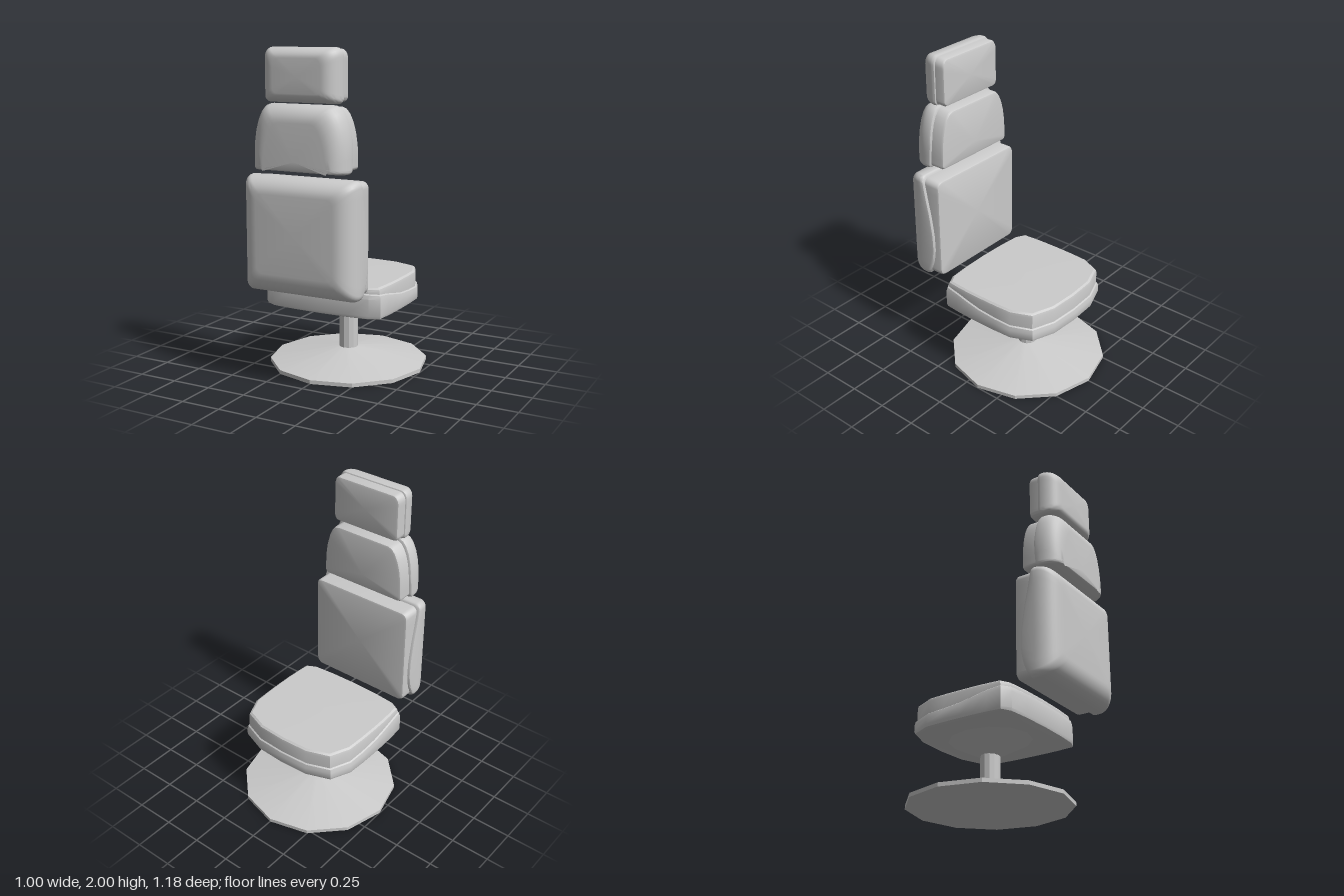
import * as THREE from 'three';
import { toCreasedNormals } from 'three/addons/utils/BufferGeometryUtils.js';

const material = new THREE.MeshStandardMaterial({ color: 0xcccccc });

function part(name, geometry, crease = 0.5) {
  const mesh = new THREE.Mesh(toCreasedNormals(geometry, crease), material);
  mesh.name = name;
  return mesh;
}

// Skin a stack of closed rings and close both ends with a fan
function loft(rings) {
  const n = rings[0].length, positions = [], index = [];
  rings.forEach(r => r.forEach(p => positions.push(p.x, p.y, p.z)));
  for (let k = 0; k < rings.length - 1; k++) {
    for (let i = 0; i < n; i++) {
      const j = (i + 1) % n, a = k * n + i, b = k * n + j;
      index.push(a, b, b + n, a, b + n, a + n);
    }
  }
  [0, rings.length - 1].forEach((k, end) => {
    const c = new THREE.Vector3();
    rings[k].forEach(p => c.addScaledVector(p, 1 / n));
    const ci = positions.length / 3;
    positions.push(c.x, c.y, c.z);
    for (let i = 0; i < n; i++) {
      const a = k * n + i, b = k * n + (i + 1) % n;
      if (end) index.push(a, b, ci); else index.push(b, a, ci);
    }
  });
  const g = new THREE.BufferGeometry();
  g.setAttribute('position', new THREE.Float32BufferAttribute(positions, 3));
  g.setIndex(index);
  g.computeVertexNormals();
  return g;
}

// Piecewise interpolation with eased steps through [key, value] pairs in rising key order
function interpolate(points, t) {
  if (t <= points[0][0]) return points[0][1];
  for (let i = 1; i < points.length; i++) {
    const [t0, v0] = points[i - 1], [t1, v1] = points[i];
    if (t <= t1) return v0 + (v1 - v0) * (t - t0) / (t1 - t0);
  }
  return points[points.length - 1][1];
}

// Rounded rectangle in x/y, anticlockwise, with elliptical corners [rx, ry]
function outline(w, y0, y1, top, bottom, zAt) {
  const half = [], corner = 6, side = 12;
  const add = (x, y) => half.push([x, y]);
  for (let i = 0; i <= corner; i++) {
    const a = i / corner * Math.PI / 2;
    add(w - bottom[0] + bottom[0] * Math.sin(a), y0 + bottom[1] - bottom[1] * Math.cos(a));
  }
  for (let i = 1; i < side; i++) add(w, THREE.MathUtils.lerp(y0 + bottom[1], y1 - top[1], i / side));
  for (let i = 0; i <= corner; i++) {
    const a = i / corner * Math.PI / 2;
    add(w - top[0] + top[0] * Math.cos(a), y1 - top[1] + top[1] * Math.sin(a));
  }
  const left = half.map(([x, y]) => [-x, y]).reverse();
  return [...half, ...left].map(([x, y]) => new THREE.Vector3(x, y, zAt(y)));
}

// One back section: a domed rear shell and a flat pad on the sitting side
function cushion(name, o) {
  const group = new THREE.Group();
  group.name = name;
  const ring = (dx, dt, db, zAt) => outline(o.w - dx, o.y0 + db, o.y1 - dt, o.top, o.bottom, zAt);
  const even = (d, zAt) => ring(d, d, d, zAt);
  const seam = y => interpolate(o.seam, y);

  const shell = [even(0.06, seam), even(0.012, seam), even(0.003, y => seam(y) + 0.006),
    even(0, y => seam(y) + 0.018)];
  const steps = 9;
  for (let i = 0; i <= steps; i++) {
    const a = i / steps * Math.PI / 2, k = 1 - Math.cos(a);
    const z = o.back - o.depth * (1 - Math.sin(a));
    shell.push(ring(o.round[0] * k, o.round[1] * k, o.round[2] * k, y => Math.max(z, seam(y) + 0.019)));
  }
  const p = o.padInset;
  const pad = [[0.016, 0], [0.005, 0.004], [0, 0.015], [0, o.padDepth]]
    .map(([d, z]) => even(p + d, () => o.front + z));
  group.add(part(name + 'Shell', loft(shell), 0.7), part(name + 'Pad', loft(pad), 0.7));
  return group;
}

// Seat plan: right half from rear centre to front centre, then mirrored
const seatHalf = [[0, 0.302], [0.19, 0.297], [0.33, 0.285], [0.392, 0.252], [0.4, 0.16], [0.404, 0.07],
  [0.405, -0.02], [0.404, -0.15], [0.398, -0.27], [0.34, -0.4], [0.19, -0.455], [0, -0.465]];
const seatPlan = [...seatHalf, ...seatHalf.slice(1, -1).reverse().map(([x, z]) => [-x, z])];
const seatSeam = z => interpolate(
  [[-0.46, 0.496], [-0.2, 0.5], [-0.02, 0.515], [0.16, 0.55], [0.3, 0.567]], z);

function seatRing(inset, yAt) {
  const s = 1 - inset / 0.4;
  return seatPlan.map(([x, z]) => new THREE.Vector3(x * s, yAt(z), (z + 0.08) * s - 0.08));
}

function lathe(points) {
  return new THREE.LatheGeometry(points.map(([r, y]) => new THREE.Vector2(r, y)), 12);
}

export function createModel() {
  const model = new THREE.Group();
  model.name = 'swivelChair';

  // Twelve-sided pedestal
  const pedestal = new THREE.Group();
  pedestal.name = 'pedestal';
  pedestal.position.z = -0.09;
  const funnel = part('seatSupport', lathe([[0.06, 0.31], [0.265, 0.412]]));
  funnel.scale.x = 0.9;
  pedestal.add(
    part('footPlate', lathe([[0, 0], [0.5, 0], [0.5, 0.024], [0.06, 0.1]])),
    part('post', lathe([[0.06, 0.095], [0.06, 0.315]])),
    funnel);
  model.add(pedestal);

  // Seat: lower shell with a wavy rim and a cushion set into it
  const seat = new THREE.Group();
  seat.name = 'seat';
  seat.add(
    part('seatShell', loft([
      seatRing(0.018, () => 0.41), seatRing(0.005, () => 0.416), seatRing(0, () => 0.432),
      seatRing(0, z => seatSeam(z) - 0.03), seatRing(0.006, z => seatSeam(z) - 0.006),
      seatRing(0.014, seatSeam), seatRing(0.06, seatSeam)])),
    part('seatCushion', loft([
      seatRing(0.014, z => seatSeam(z) - 0.01), seatRing(0.014, z => Math.max(seatSeam(z), 0.575)),
      seatRing(0.018, () => 0.59), seatRing(0.03, () => 0.599), seatRing(0.2, () => 0.602)])));
  model.add(seat);

  // Three stacked back sections
  model.add(
    cushion('lowerBack', {
      w: 0.371, y0: 0.567, y1: 1.265, top: [0.04, 0.04], bottom: [0.04, 0.04],
      seam: [[0.58, 0.425], [0.63, 0.398], [0.68, 0.38], [0.76, 0.367], [0.87, 0.371],
        [1.0, 0.39], [1.13, 0.418], [1.26, 0.442]],
      back: 0.59, depth: 0.125, round: [0.12, 0.1, 0.13],
      front: 0.325, padDepth: 0.13, padInset: 0.018 }),
    cushion('upperBack', {
      w: 0.305, y0: 1.297, y1: 1.68, top: [0.1, 0.28], bottom: [0.02, 0.02],
      seam: [[1.3, 0.435], [1.45, 0.422], [1.68, 0.428]],
      back: 0.58, depth: 0.11, round: [0.1, 0.1, 0.018],
      front: 0.335, padDepth: 0.12, padInset: 0.014 }),
    cushion('headrest', {
      w: 0.245, y0: 1.687, y1: 2.0, top: [0.04, 0.05], bottom: [0.03, 0.03],
      seam: [[1.68, 0.42], [2, 0.42]],
      back: 0.545, depth: 0.1, round: [0.09, 0.06, 0.055],
      front: 0.355, padDepth: 0.09, padInset: 0.009 }));
  return model;
}
